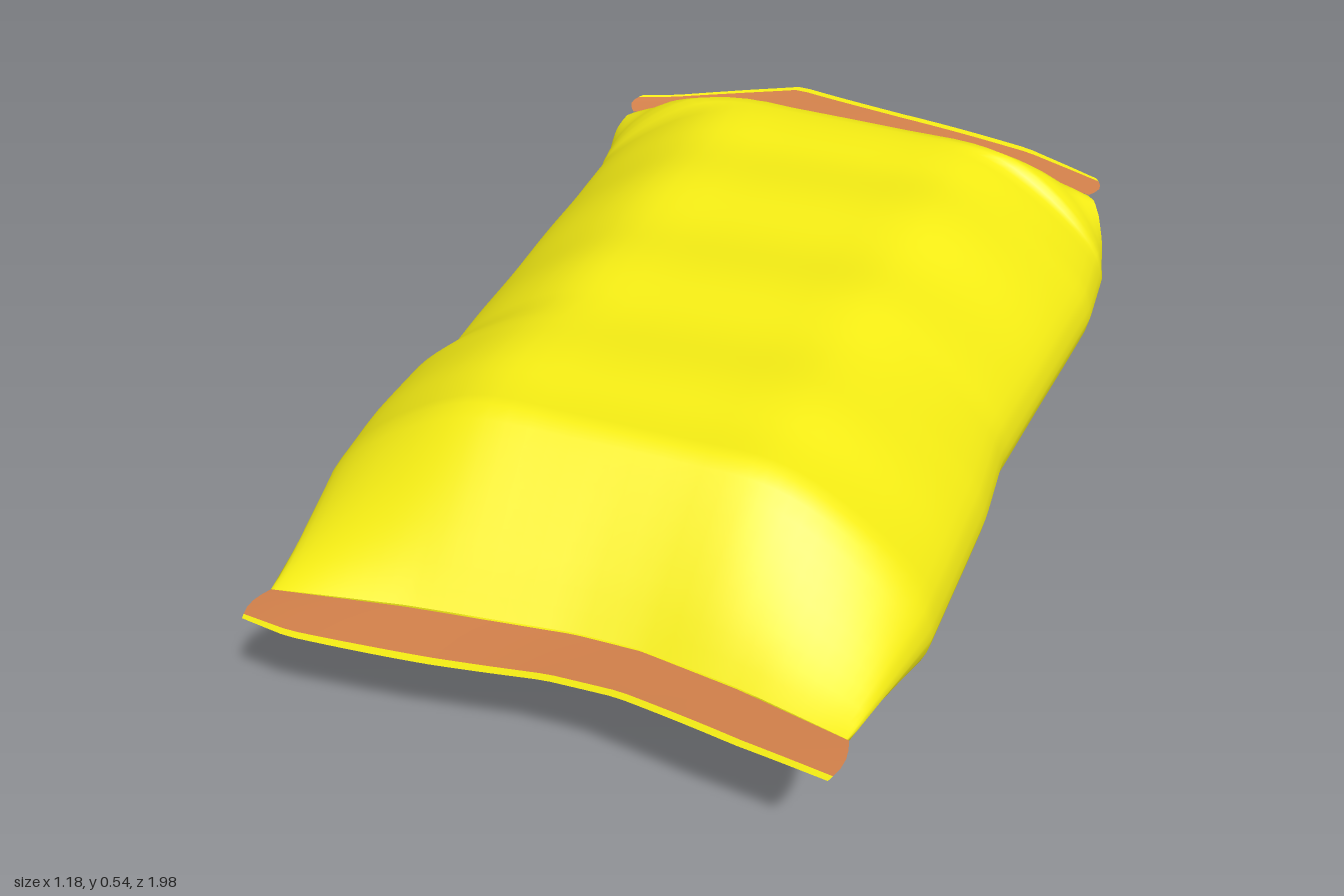
import * as THREE from 'three';

const YELLOW = 0xf4ec14, BROWN = 0xd2804a;
const MID = 0.27, HALF = 0.262;
const lerp = THREE.MathUtils.lerp;

// Piecewise linear lookup in [key, value] pairs with ascending keys
function lookup(table, k) {
  if (k <= table[0][0]) return table[0][1];
  for (let i = 1; i < table.length; i++) {
    const [a, va] = table[i - 1], [b, vb] = table[i];
    if (k <= b) return lerp(va, vb, (k - a) / (b - a));
  }
  return table[table.length - 1][1];
}

// Side outlines by z
const rightEdge = [[-0.66, -0.56], [0.2, -0.555], [0.28, -0.588], [0.45, -0.593], [0.6, -0.585], [0.885, -0.54]];
const leftEdge = [[-0.66, 0.563], [-0.6, 0.577], [-0.45, 0.588], [0.08, 0.547], [0.25, 0.563], [0.6, 0.565], [0.885, 0.512]];

// Seam and flap outlines by x
const sealInner = [[-0.54, 0.885], [-0.3, 0.845], [0, 0.81], [0.12, 0.81], [0.3, 0.84], [0.512, 0.89]];
const sealOuter = [[-0.54, 0.98], [-0.45, 0.99], [-0.2, 0.965], [0, 0.94], [0.13, 0.942], [0.35, 0.98], [0.512, 0.998]];
const flapInner = [[-0.53, -0.69], [-0.3, -0.775], [-0.2, -0.825], [0, -0.795], [0.3, -0.735], [0.53, -0.69]];
const flapOuter = [[-0.53, -0.75], [-0.45, -0.78], [-0.3, -0.87], [-0.2, -0.925], [0.05, -0.875], [0.35, -0.825], [0.45, -0.785], [0.53, -0.75]];

// Matching quarter sections: side to top centre, in half-width and half-height units
const quarter = (pts) => new THREE.CatmullRomCurve3(pts.map(([x, y]) => new THREE.Vector3(x, y, 0)), false, 'centripetal').getPoints(21);
const pillow = quarter([[1, 0], [0.97, 0.22], [0.87, 0.47], [0.71, 0.74], [0.55, 0.93], [0.42, 1], [0.21, 1], [0, 1]]);
const slot = quarter([[1, 0], [0.995, 0.3], [0.98, 0.6], [0.955, 0.85], [0.915, 0.98], [0.7, 1], [0.35, 1], [0, 1]]);

// Closed ring built by mirroring a quarter section
function ring(q) {
  const top = [...q, ...q.slice(0, -1).reverse().map((p) => new THREE.Vector3(-p.x, p.y, 0))];
  return [...top, ...top.slice(1, -1).reverse().map((p) => new THREE.Vector3(p.x, -p.y, 0))];
}
const pillowRing = ring(pillow), slotRing = ring(slot);

// Smooth surface through equal rows of points
function skin(rows, closed, color, name) {
  const n = rows[0].length, pos = [], index = [];
  rows.forEach((row) => row.forEach((p) => pos.push(...p)));
  for (let r = 0; r < rows.length - 1; r++) {
    for (let i = 0; i < (closed ? n : n - 1); i++) {
      const a = r * n + i, b = r * n + (i + 1) % n;
      index.push(a, a + n, b, b, a + n, b + n);
    }
  }
  const geo = new THREE.BufferGeometry();
  geo.setAttribute('position', new THREE.Float32BufferAttribute(pos, 3));
  geo.setIndex(index);
  geo.computeVertexNormals();
  const mesh = new THREE.Mesh(geo, new THREE.MeshStandardMaterial({ color, side: THREE.DoubleSide }));
  mesh.name = name;
  return mesh;
}

// Point on the bag: front and back are 0..1 progress towards each end
function bagPoint(i, z, front, back) {
  const a = pillowRing[i], b = slotRing[i];
  const sx = lerp(a.x, b.x, back), sy = lerp(a.y, b.y, back);
  const zn = z + front * 0.315 - back * 0.08;
  const l = lookup(rightEdge, zn), r = lookup(leftEdge, zn);
  const x = (l + r) / 2 + sx * (r - l) / 2;
  let h = HALF;
  if (front) h *= lookup([[0, 1], [0.1, 0.94], [0.25, 0.81], [0.5, 0.57], [0.75, 0.31], [1, 0.015]], front);
  else if (back) h *= lookup([[0, 1], [0.2, 0.98], [0.45, 0.85], [0.7, 0.68], [1, 0.53]], back);
  else h += 0.005 * Math.sin(z * 19 + 1.2 * x + 0.6) * Math.min(1, (0.57 - z) * 8, (z + 0.58) * 8);
  const lift = front * 0.008;
  const rim = lerp(-0.655, lookup(flapInner, x) - (sy < 0 ? 0.06 : 0), Math.pow(Math.abs(sy), 4));
  const zz = front ? lerp(z, lookup(sealInner, x), front) : lerp(z, rim, back);
  return [x, MID + lift + sy * h, zz];
}

// Hollow bag, closed at the front and open at the back
function makeBag() {
  const rows = [];
  const addRow = (z, f, b) => rows.push(pillowRing.map((_, i) => bagPoint(i, z, f, b)));
  for (let k = 10; k > 0; k--) addRow(0.57, k / 10, 0);
  for (let k = 0; k <= 44; k++) addRow(lerp(0.57, -0.58, k / 44), 0, 0);
  for (let k = 1; k <= 10; k++) addRow(-0.58, 0, k / 10);
  return skin(rows, true, YELLOW, 'bag');
}

// Flat strip between two outlines; from..to is the part of its depth that is built
function strip(name, color, { x0, x1, inner, outer, height, shift = 0, flare = 0.02 }, from, to) {
  const rows = [];
  for (let j = 0; j <= 4; j++) {
    const v = lerp(from, to, j / 4), row = [];
    for (let i = 0; i <= 40; i++) {
      const x = lerp(x0, x1, i / 40);
      const z = lerp(lookup(inner, x), lookup(outer, x), v) + shift;
      row.push([x * (1 + flare * Math.sin(v * Math.PI)), height(x, v), z]);
    }
    rows.push(row);
  }
  return skin(rows, false, color, name);
}

export function createModel() {
  const group = new THREE.Group();
  group.name = 'openBag';
  group.add(makeBag());

  // Pressed front seal with a gentle wave
  const seal = {
    x0: -0.54, x1: 0.512, inner: sealInner, outer: sealOuter,
    height: (x, v) => 0.278 + v * (0.01 + 0.008 * Math.sin((x - 0.02) * 6)),
  };
  group.add(strip('frontSeal', BROWN, seal, 0, 0.87));
  group.add(strip('frontSealEdge', YELLOW, seal, 0.87, 1));

  // Torn flaps above and below the back opening
  for (const [side, s, shift] of [['upper', 1, 0], ['lower', -1, -0.065]]) {
    const flap = {
      x0: -0.515, x1: 0.515, inner: flapInner, outer: flapOuter, shift, flare: 0.03,
      height: (x, v) => MID + 0.008 + s * 0.137 - 0.008 * (1 - v) + 0.003 * Math.sin(x * 9) * v,
    };
    group.add(strip(side + 'Flap', BROWN, flap, 0, 0.85));
    group.add(strip(side + 'FlapEdge', YELLOW, flap, 0.85, 1));
  }
  return group;
}
